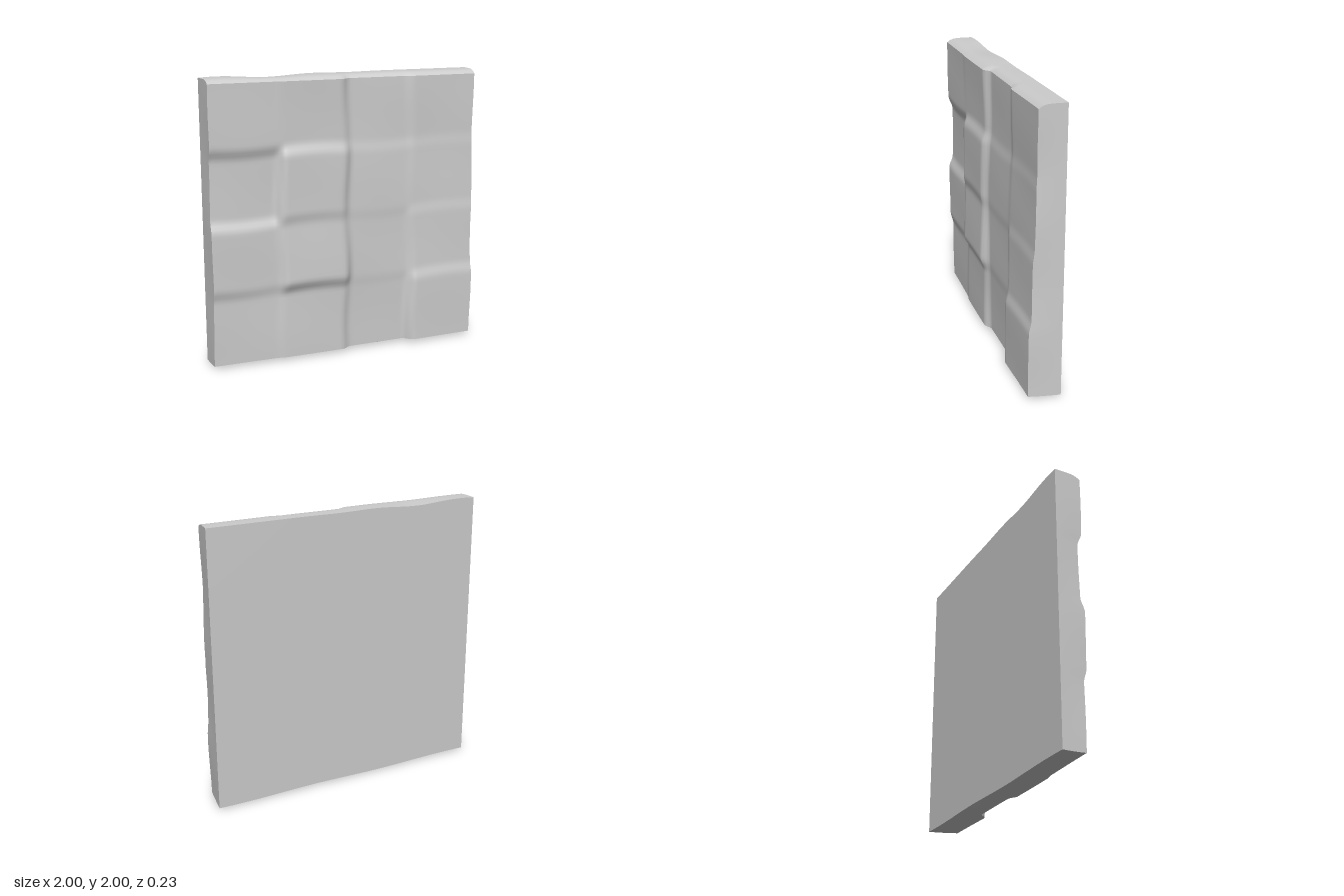
import * as THREE from 'three';

const BACK = -0.12;

// Front height of each block (rows run from the bottom up): [centre z, slope in x, slope in y]
const BLOCKS = [
  [[0.055, 0.02, 0.0], [0.075, 0.02, 0.0], [0.05, 0.0, 0.02], [0.103, 0.0, 0.0]],
  [[0.072, 0.0, 0.0], [0.1, 0.0, -0.05], [0.06, 0.0, 0.0], [0.082, 0.0, -0.02]],
  [[0.045, 0.01, 0.0], [0.1, -0.01, -0.01], [0.06, 0.0, -0.02], [0.066, 0.0, -0.01]],
  [[0.074, 0.0, 0.01], [0.076, 0.0, 0.02], [0.044, 0.0, -0.01], [0.06, 0.0, 0.01]],
];

const smooth = (a, b, t) => THREE.MathUtils.smoothstep(t, a, b);

// Weight of block i along one axis, with a soft step at every seam
function weight(i, t, half) {
  const lo = i === 0 ? 1 : smooth(-half, half, t - (i * 0.5 - 1));
  const hi = i === 3 ? 0 : smooth(-half, half, t - ((i + 1) * 0.5 - 1));
  return lo - hi;
}

function frontZ(x, y) {
  // seams wander slightly
  const sx = x + 0.012 + 0.01 * Math.sin(7 * y + 1);
  const sy = y - 0.02 + 0.012 * Math.sin(6 * x);
  let z = 0;
  BLOCKS.forEach((row, r) => row.forEach(([h, dx, dy], c) => {
    const w = weight(r, sy, 0.05) * weight(c, sx, 0.035);
    if (w > 0) z += w * (h + dx * (x - (c * 0.5 - 0.75)) + dy * (y - (r * 0.5 - 0.75)));
  }));
  return z + 0.003 * Math.sin(5 * x + 3 * y) * Math.sin(6 * y - 2 * x);
}

function createSlab() {
  const geo = new THREE.BoxGeometry(2, 2, 1, 84, 84, 8);
  const pos = geo.attributes.position;
  for (let i = 0; i < pos.count; i++) {
    const u = pos.getX(i), v = pos.getY(i), w = pos.getZ(i) + 0.5; // w: 0 back, 1 front
    // rough rim: edges draw in towards the front, the top edge is rounded
    const right = 1 - 0.022 * w + 0.004 * w * Math.sin(8 * v);
    const left = 1 - 0.01 * w + 0.003 * w * Math.sin(7 * v + 2);
    const top = 2 - 0.03 * w ** 6 - 0.008 * (1 - w) * smooth(-0.4, 0.6, -u) * (1 + Math.sin(9 * u));
    const sag = 0.02 * Math.exp(-(((u - 0.22) / 0.15) ** 2)) * Math.sin(Math.PI * w);
    const bottom = 0.02 + 0.008 * w ** 2 - sag + 0.004 * (1 - w) * Math.sin(6 * u);
    const x = u * (u > 0 ? right : left);
    const y = bottom + (v + 1) / 2 * (top - bottom);
    pos.setXYZ(i, x, y, BACK + w * (frontZ(u, v) - BACK));
  }
  geo.computeVertexNormals();
  return geo;
}

export function createModel() {
  const stone = new THREE.MeshStandardMaterial({ color: 0xcccccc });
  stone.name = 'stone grey';
  const slab = new THREE.Mesh(createSlab(), stone);
  slab.name = 'stoneBlockSlab';
  const model = new THREE.Group();
  model.name = 'stoneWallPanel';
  model.add(slab);
  return model;
}
